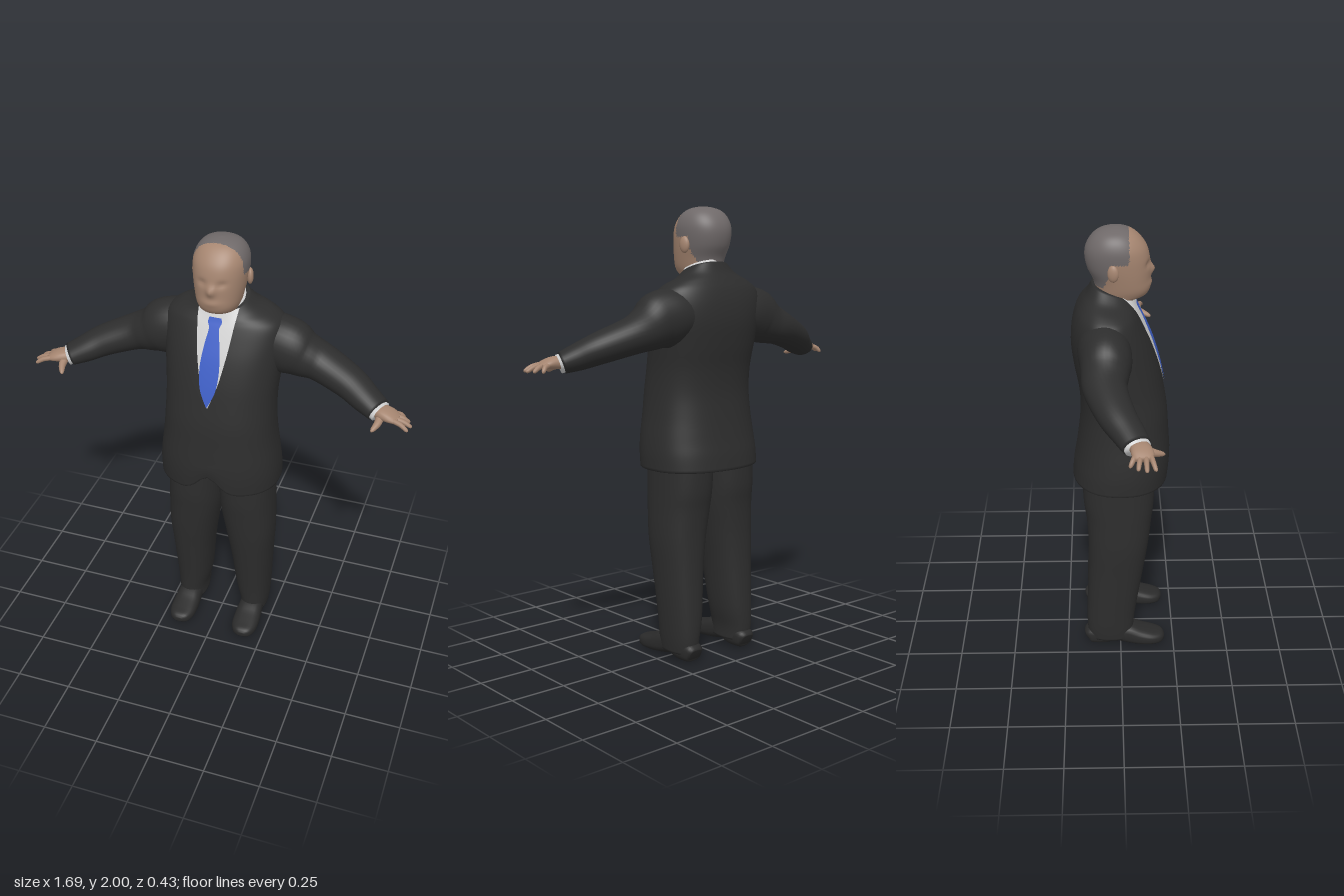
import * as THREE from 'three';

const material = (name, color) => Object.assign(new THREE.MeshStandardMaterial({ color }), { name });

// Catmull-Rom sampling of a table of stations
function smooth(rows, steps) {
  const out = [], at = (i) => rows[Math.min(Math.max(i, 0), rows.length - 1)];
  for (let i = 0; i < rows.length - 1; i++) {
    for (let s = 0; s < steps; s++) {
      const t = s / steps;
      out.push(rows[i].map((p, k) => {
        const a = at(i - 1)[k], q = at(i + 1)[k], b = at(i + 2)[k];
        return p + 0.5 * t * (q - a + t * (2 * a - 5 * p + 4 * q - b + t * (3 * (p - q) + b - a)));
      }));
    }
  }
  out.push(rows[rows.length - 1]);
  return out;
}

// Closed skin over rings of points, with both ends capped
function skin(rings) {
  const n = rings[0].length, last = (rings.length - 1) * n, pts = rings.flat(), index = [];
  const middle = (ring) => ring.reduce((s, p) => s.add(p), new THREE.Vector3()).divideScalar(n);
  const start = pts.push(middle(rings[0])) - 1;
  const end = pts.push(middle(rings[rings.length - 1])) - 1;
  for (let j = 0; j < n; j++) {
    const k = (j + 1) % n;
    index.push(start, j, k);
    for (let r = 0; r < last; r += n) {
      index.push(r + j, r + n + j, r + k, r + k, r + n + j, r + n + k);
    }
    index.push(end, last + k, last + j);
  }
  const g = new THREE.BufferGeometry().setFromPoints(pts);
  g.setIndex(index);
  g.computeVertexNormals();
  return g;
}

const power = (v, n) => Math.sign(v) * Math.pow(Math.abs(v), 2 / n);
function ringOf(segments, n, place) {
  return Array.from({ length: segments }, (_, j) => {
    const a = (j / segments) * Math.PI * 2;
    return place(power(Math.cos(a), n), power(Math.sin(a), n));
  });
}

// Upright loft; row = [y, centre x, half width, front z, back z, tilt]
function loft(rows, segments, n, warp = (p) => p) {
  return skin(rows.map(([y, cx, w, f, b, tilt = 0]) => ringOf(segments, n, (c, s) => {
    const z = (f + b) / 2 + s * (f - b) / 2;
    return warp(new THREE.Vector3(cx + c * w, y - tilt * z, z));
  })));
}

// Sweep along a path; row = [x, y, z, vertical radius, sideways radius]
function sweep(rows, segments, n = 2, warp = (p) => p) {
  const mid = rows.map((r) => new THREE.Vector3(r[0], r[1], r[2]));
  return skin(rows.map((r, i) => {
    const t = mid[Math.min(i + 1, mid.length - 1)].clone().sub(mid[Math.max(i - 1, 0)]).normalize();
    const side = t.clone().cross(new THREE.Vector3(0, 1, 0)).normalize();
    const up = side.clone().cross(t);
    return ringOf(segments, n, (c, s) =>
      warp(mid[i].clone().addScaledVector(side, c * r[4]).addScaledVector(up, s * r[3])));
  }));
}

function mirrored(geometry) {
  const g = geometry.clone().scale(-1, 1, 1), ix = g.index.array;
  for (let i = 0; i < ix.length; i += 3) [ix[i], ix[i + 1]] = [ix[i + 1], ix[i]];
  return g;
}

export function createModel() {
  const model = new THREE.Group();
  model.name = 'manInSuit';
  const suit = material('charcoal suit', 0x2d2d2d), skinTone = material('skin', 0xa58570);
  const hair = material('grey hair', 0x6f6969), white = material('white shirt', 0xd2d2d2);
  const blue = material('blue tie', 0x3f60c8), black = material('dark shoes', 0x2a2a2a);

  const add = (name, geometry, mat, parent = model) => {
    const mesh = new THREE.Mesh(geometry, mat);
    mesh.name = name;
    parent.add(mesh);
    return mesh;
  };
  const pair = (name, geometry, mat, parent) => {
    add('left' + name, geometry, mat, parent);
    add('right' + name, mirrored(geometry), mat, parent);
  };

  // Jacket body with a turned-in hem and a cutaway at the front
  const N = 2.35;
  const body = smooth([
    [0.865, 0, 0.272, 0.215, -0.212, 0], [0.93, 0, 0.272, 0.22, -0.205, 0],
    [1.0, 0, 0.266, 0.22, -0.193, 0], [1.1, 0, 0.253, 0.213, -0.18, 0],
    [1.2, 0, 0.245, 0.205, -0.173, 0], [1.3, 0, 0.243, 0.187, -0.18, 0],
    [1.4, 0, 0.25, 0.165, -0.198, 0], [1.5, 0, 0.26, 0.135, -0.21, 0],
    [1.58, 0, 0.265, 0.103, -0.205, 0], [1.635, 0, 0.252, 0.08, -0.188, 0.04],
    [1.665, 0, 0.21, 0.068, -0.165, 0.12], [1.69, 0, 0.145, 0.06, -0.14, 0.22],
    [1.722, 0, 0.1, 0.05, -0.118, 0.35],
  ], 5);
  const lining = [[0.93, 0, 0.25, 0.195, -0.19], [0.868, 0, 0.255, 0.2, -0.197], [0.86, 0, 0.265, 0.208, -0.206]];
  add('jacket', loft([...lining, ...body], 72, N, (p) => {
    const w = THREE.MathUtils.clamp((1.02 - p.y) / 0.15, 0, 1);
    if (p.z > 0) p.y += 0.085 * w * Math.exp(-((p.x / 0.065) ** 2));
    return p;
  }), suit);

  // Thin panels laid over the chest; row = [y, half width]
  function chestPanel(rows, shift, lift) {
    const cols = 12, pts = [], index = [], list = smooth(rows, 8);
    list.forEach(([v, half], i) => {
      const k = Math.max(1, body.findIndex((r) => r[0] >= v - 1e-6));
      const t = (v - body[k - 1][0]) / (body[k][0] - body[k - 1][0]);
      const [, , w, f, b, tilt] = body[k].map((q, m) => THREE.MathUtils.lerp(body[k - 1][m], q, t));
      for (let j = 0; j <= cols; j++) {
        const x = shift + half * ((2 * j) / cols - 1);
        const depth = Math.pow(Math.max(0, 1 - Math.abs(x / w) ** N), 1 / N);
        const z = (f + b) / 2 + depth * (f - b) / 2;
        pts.push(new THREE.Vector3(x, v - tilt * z, z + lift));
        if (i < list.length - 1 && j < cols) {
          const a = i * (cols + 1) + j, d = a + cols + 1;
          index.push(a, d, a + 1, a + 1, d, d + 1);
        }
      }
    });
    const g = new THREE.BufferGeometry().setFromPoints(pts);
    g.setIndex(index);
    g.computeVertexNormals();
    return g;
  }
  white.side = blue.side = THREE.DoubleSide;
  add('shirtFront', chestPanel([[1.72, 0.088], [1.65, 0.08], [1.55, 0.068], [1.43, 0.045], [1.36, 0.024], [1.3, 0.001]], -0.006, 0.004), white);
  add('tie', chestPanel([[1.685, 0.026], [1.66, 0.03], [1.63, 0.022], [1.56, 0.034], [1.47, 0.043], [1.38, 0.034], [1.305, 0.002]], -0.008, 0.009), blue);
  add('shirtCollar', loft([[1.66, 0, 0.094, 0.058, -0.11, 0.35], [1.734, 0, 0.088, 0.056, -0.109, 0.35]], 40, 2.1), white);

  // Head and neck, with hair chosen by position on the same surface
  const head = new THREE.Group();
  head.name = 'head';
  head.position.x = -0.008;
  model.add(head);
  const headShape = loft(smooth([
    [1.66, 0, 0.07, 0.04, -0.09], [1.695, 0, 0.078, 0.066, -0.099],
    [1.712, 0, 0.082, 0.108, -0.102], [1.74, 0, 0.092, 0.126, -0.105],
    [1.78, 0, 0.101, 0.127, -0.113], [1.83, 0, 0.11, 0.127, -0.137],
    [1.88, 0, 0.115, 0.122, -0.147], [1.92, 0, 0.113, 0.11, -0.142],
    [1.955, 0, 0.1, 0.086, -0.123], [1.98, 0, 0.077, 0.057, -0.096],
    [1.994, 0, 0.044, 0.025, -0.06], [2.0, 0, 0.006, -0.01, -0.022],
  ], 6), 80, 2.15, (p) => {
    if (p.z > 0.05) {
      const bump = (x, y, sx, sy) => Math.exp(-(((p.x - x) / sx) ** 2) - ((p.y - y) / sy) ** 2);
      p.z += 0.018 * bump(0, 1.82, 0.018, 0.022) + 0.006 * bump(0, 1.765, 0.04, 0.015)
        - 0.008 * (bump(0.042, 1.85, 0.02, 0.014) + bump(-0.042, 1.85, 0.02, 0.014));
    }
    return p;
  });
  const isHair = (y, z) => {
    if (y > 1.867) return z < 0.036;
    if (y > 1.82) return z < -0.045;
    return y > 1.757 && z < -0.045 - (1.82 - y) * 0.42;
  };
  const faces = [[], []], pos = headShape.attributes.position, ix = headShape.index.array;
  for (let i = 0; i < ix.length; i += 3) {
    const tri = [ix[i], ix[i + 1], ix[i + 2]];
    const mean = (get) => tri.reduce((s, v) => s + get(v), 0) / 3;
    faces[isHair(mean((v) => pos.getY(v)), mean((v) => pos.getZ(v))) ? 1 : 0].push(...tri);
  }
  headShape.setIndex(faces.flat());
  headShape.addGroup(0, faces[0].length, 0);
  headShape.addGroup(faces[0].length, faces[1].length, 1);
  add('faceAndHair', headShape, [skinTone, hair], head);
  pair('Ear', new THREE.SphereGeometry(1, 16, 12).scale(0.014, 0.036, 0.024).rotateY(0.3).translate(0.116, 1.835, -0.03), skinTone, head);

  // Sleeves and shirt cuffs
  pair('Sleeve', sweep(smooth([
    [0.12, 1.53, -0.075, 0.1, 0.1], [0.2, 1.535, -0.07, 0.119, 0.11],
    [0.28, 1.515, -0.062, 0.124, 0.108], [0.34, 1.488, -0.066, 0.1, 0.099],
    [0.42, 1.46, -0.066, 0.08, 0.09], [0.55, 1.415, -0.025, 0.068, 0.079],
    [0.63, 1.38, 0.018, 0.058, 0.069], [0.695, 1.354, 0.052, 0.046, 0.061],
  ], 5), 32), suit);
  pair('Cuff', sweep([[0.66, 1.366, 0.036, 0.042, 0.055], [0.705, 1.35, 0.057, 0.04, 0.055]], 28), white);

  // Hands: palm, four fingers and thumb
  pair('Palm', sweep(smooth([
    [0.68, 1.355, 0.05, 0.026, 0.036], [0.72, 1.357, 0.066, 0.026, 0.042],
    [0.755, 1.352, 0.074, 0.02, 0.044], [0.785, 1.343, 0.077, 0.011, 0.036],
  ], 4), 20, 2.3), skinTone);
  [[0.045, 0.806, 0.026], [0.064, 0.83, 0.055], [0.085, 0.843, 0.087], [0.103, 0.833, 0.12]].forEach(([z, tx, tz], i) => {
    pair('Finger' + (i + 1), sweep(smooth([
      [0.76, 1.35, z, 0.011, 0.011], [(0.765 + tx) / 2, 1.342, (z + tz) / 2, 0.011, 0.01],
      [tx - 0.006, 1.326, tz, 0.008, 0.008], [tx, 1.322, tz, 0.002, 0.002],
    ], 3), 10), skinTone);
  });
  pair('Thumb', sweep(smooth([
    [0.71, 1.348, 0.075, 0.02, 0.02], [0.708, 1.333, 0.115, 0.016, 0.016],
    [0.695, 1.32, 0.15, 0.01, 0.01], [0.69, 1.316, 0.161, 0.003, 0.003],
  ], 4), 12), skinTone);

  // Trousers
  pair('TrouserLeg', loft(smooth([
    [0.04, 0.155, 0.062, 0.055, -0.148], [0.1, 0.157, 0.067, 0.06, -0.155],
    [0.2, 0.15, 0.08, 0.071, -0.156], [0.4, 0.145, 0.096, 0.102, -0.148],
    [0.55, 0.138, 0.112, 0.125, -0.146], [0.68, 0.126, 0.122, 0.14, -0.153],
    [0.78, 0.121, 0.124, 0.15, -0.166], [0.96, 0.115, 0.125, 0.152, -0.17],
  ], 5), 36, 2.3), suit);

  // Shoes with a flat sole and a raised heel arch
  pair('Shoe', sweep(smooth([
    [0.155, 0.04, -0.158, 0.025, 0.03], [0.155, 0.046, -0.14, 0.042, 0.047],
    [0.155, 0.052, -0.07, 0.048, 0.052], [0.156, 0.064, -0.03, 0.042, 0.052],
    [0.157, 0.058, 0.03, 0.05, 0.057], [0.158, 0.043, 0.09, 0.042, 0.062],
    [0.159, 0.034, 0.15, 0.033, 0.06], [0.16, 0.031, 0.19, 0.025, 0.043],
    [0.16, 0.03, 0.206, 0.01, 0.018],
  ], 4), 28, 2.7, (p) => p.setY(Math.max(p.y, 0))), black);

  return model;
}
